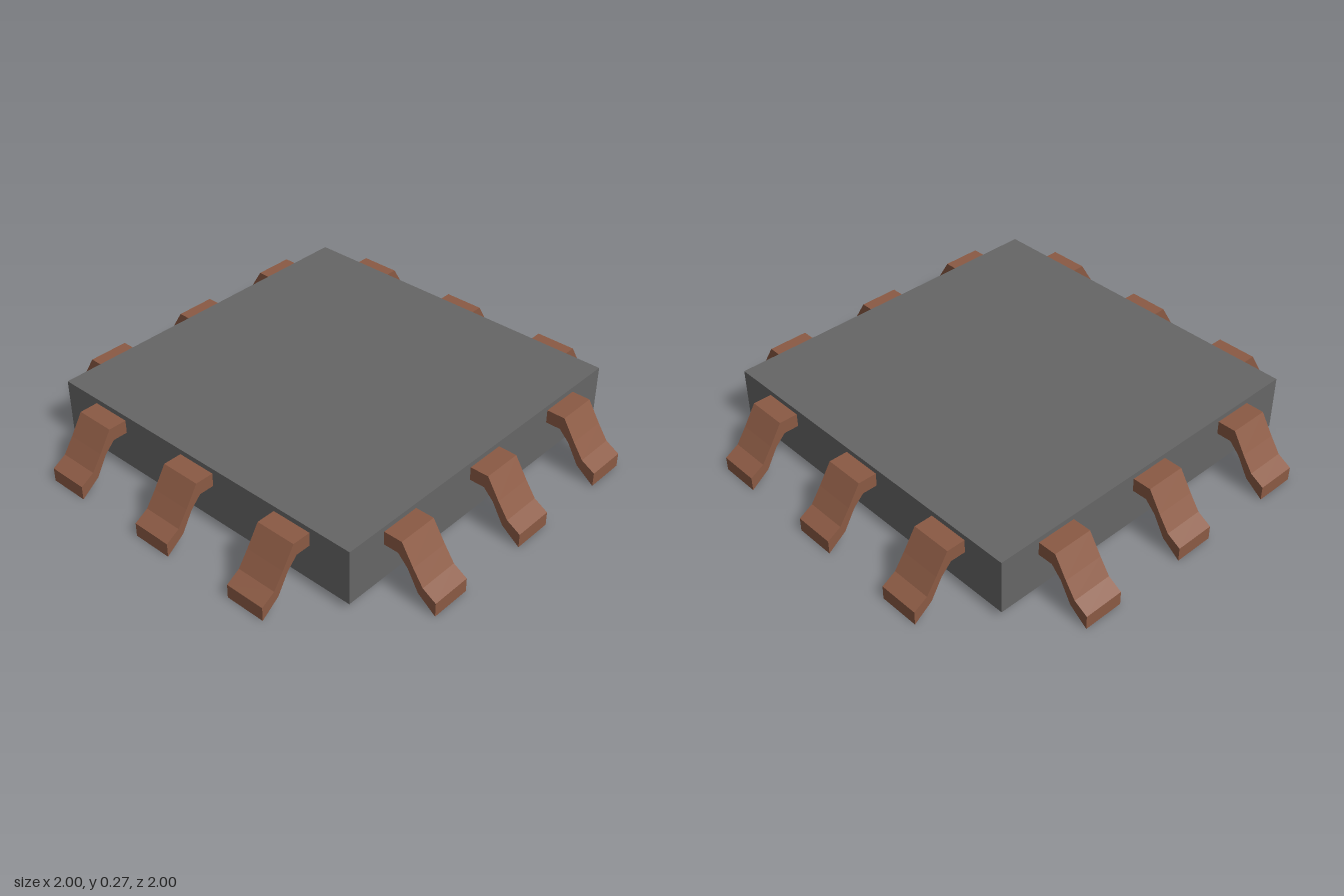
import * as THREE from 'three';

// Open-bottomed chip housing with three bent pins on each of its four sides.
export function createModel() {
  const model = new THREE.Group();
  model.name = 'chip';

  const bodyMaterial = new THREE.MeshStandardMaterial({ color: 0x666666, side: THREE.DoubleSide });
  const pinMaterial = new THREE.MeshStandardMaterial({ color: 0x8b5a44, flatShading: true });

  // Housing: a thin box shell without its underside
  const shell = new THREE.BoxGeometry(1.52, 0.24, 1.52);
  const index = Array.from(shell.index.array);
  index.splice(18, 6); // the -y face
  shell.setIndex(index);
  shell.clearGroups();
  const housing = new THREE.Mesh(shell, bodyMaterial);
  housing.name = 'housing';
  housing.position.y = 0.15;
  model.add(housing);

  // Pin: side profile (distance outward, height), starting just inside the wall
  const profile = [
    [0.68, 0.19], [0.825, 0.19], [0.87, 0.145], [0.92, 0.06], [1, 0],
    [1, 0.06], [0.94, 0.095], [0.895, 0.16], [0.84, 0.248], [0.68, 0.248],
  ];
  const width = 0.174;
  const pinShape = new THREE.Shape(profile.map(([r, y]) => new THREE.Vector2(r, y)));
  const pinGeometry = new THREE.ExtrudeGeometry(pinShape, { depth: width, bevelEnabled: false });
  pinGeometry.translate(0, 0, -width / 2).rotateY(-Math.PI / 2);

  // Four rows of three pins, turned around the housing
  ['front', 'left', 'back', 'right'].forEach((side, i) => {
    const row = new THREE.Group();
    row.name = `${side}Pins`;
    row.rotation.y = (i * Math.PI) / 2;
    for (const k of [-1, 0, 1]) {
      const pin = new THREE.Mesh(pinGeometry, pinMaterial);
      pin.name = 'pin';
      pin.position.x = k * 0.49 - 0.004;
      row.add(pin);
    }
    model.add(row);
  });

  return model;
}
